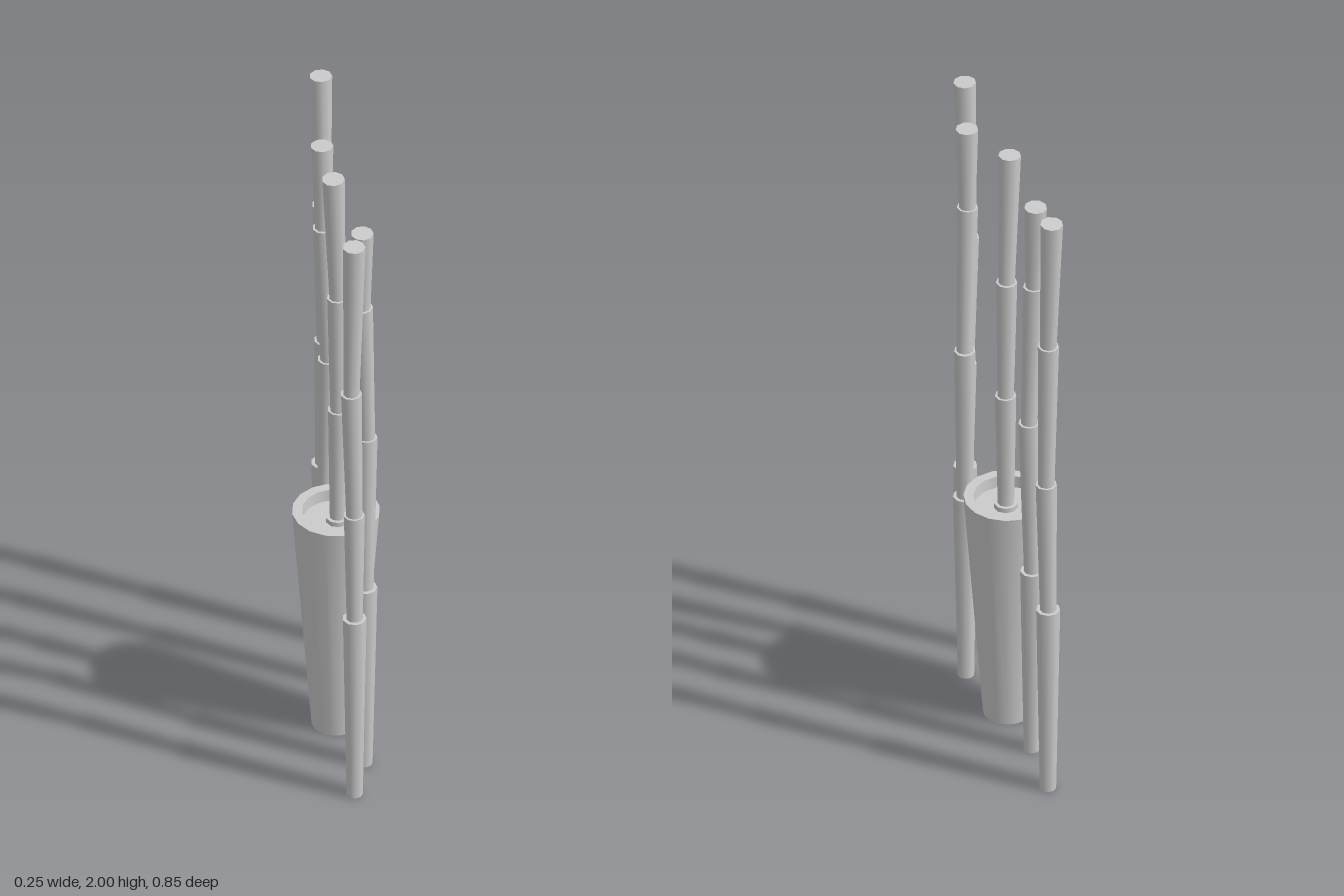
import * as THREE from 'three';

const material = new THREE.MeshStandardMaterial({ color: 0xcccccc });
const UP = new THREE.Vector3(0, 1, 0);

// One cane: stacked tapered joints, each wider at its upper end
function makeCane(name, nodes) {
  const cane = new THREE.Group();
  cane.name = name;
  const points = nodes.map((p) => new THREE.Vector3(...p));
  for (let i = 0; i < points.length - 1; i++) {
    const axis = points[i + 1].clone().sub(points[i]);
    const topRadius = i === 0 ? 0.035 : i === points.length - 2 ? 0.033 : 0.031;
    const geometry = new THREE.CylinderGeometry(topRadius, 0.024, axis.length(), 9);
    const joint = new THREE.Mesh(geometry, material);
    joint.name = 'caneJoint' + (i + 1);
    joint.position.copy(points[i]).addScaledVector(axis, 0.5);
    joint.quaternion.setFromUnitVectors(UP, axis.normalize());
    cane.add(joint);
  }
  return cane;
}

// Tall tapered pot with a flat rim and a sunken soil surface
function makePot() {
  const pot = new THREE.Group();
  pot.name = 'pot';
  const profiles = {
    potBase: [[0, 0], [0.071, 0]],
    potWall: [[0.071, 0], [0.127, 0.757]],
    potRim: [[0.127, 0.757], [0.098, 0.757]],
    potInside: [[0.098, 0.757], [0.096, 0.72]],
    soil: [[0.096, 0.72], [0, 0.72]],
  };
  for (const [name, profile] of Object.entries(profiles)) {
    const points = profile.map(([r, y]) => new THREE.Vector2(r, y));
    const mesh = new THREE.Mesh(new THREE.LatheGeometry(points, 16), material);
    mesh.name = name;
    pot.add(mesh);
  }
  pot.position.z = 0.027;
  return pot;
}

export function createModel() {
  const model = new THREE.Group();
  model.name = 'bambooCanes';
  model.add(makePot());

  // Node positions of each cane, from the ground up
  const canes = {
    frontCane: [[0, 0, 0.378], [0, 0.63, 0.378], [0, 0.995, 0.371], [-0.009, 1.435, 0.376], [-0.003, 1.97, 0.39]],
    frontMiddleCane: [[0.05, 0, 0.236], [0.053, 0.63, 0.236], [0.06, 1.155, 0.219], [0.043, 1.64, 0.243], [0.042, 1.91, 0.25]],
    pottedCane: [[0.005, 0.1, 0.027], [0.005, 0.735, 0.027], [0.007, 1.115, 0.024], [0.005, 1.515, 0.021], [-0.009, 1.95, 0.034]],
    backMiddleCane: [[0, 0, -0.175], [0, 0.63, -0.177], [0.008, 1.15, -0.173], [-0.007, 1.625, -0.171], [-0.009, 1.91, -0.181]],
    backCane: [[0.023, 0, -0.37], [0.023, 0.63, -0.372], [0.028, 1.07, -0.37], [0.022, 1.555, -0.371], [0.02, 2, -0.393]],
  };
  for (const [name, nodes] of Object.entries(canes)) model.add(makeCane(name, nodes));
  return model;
}
